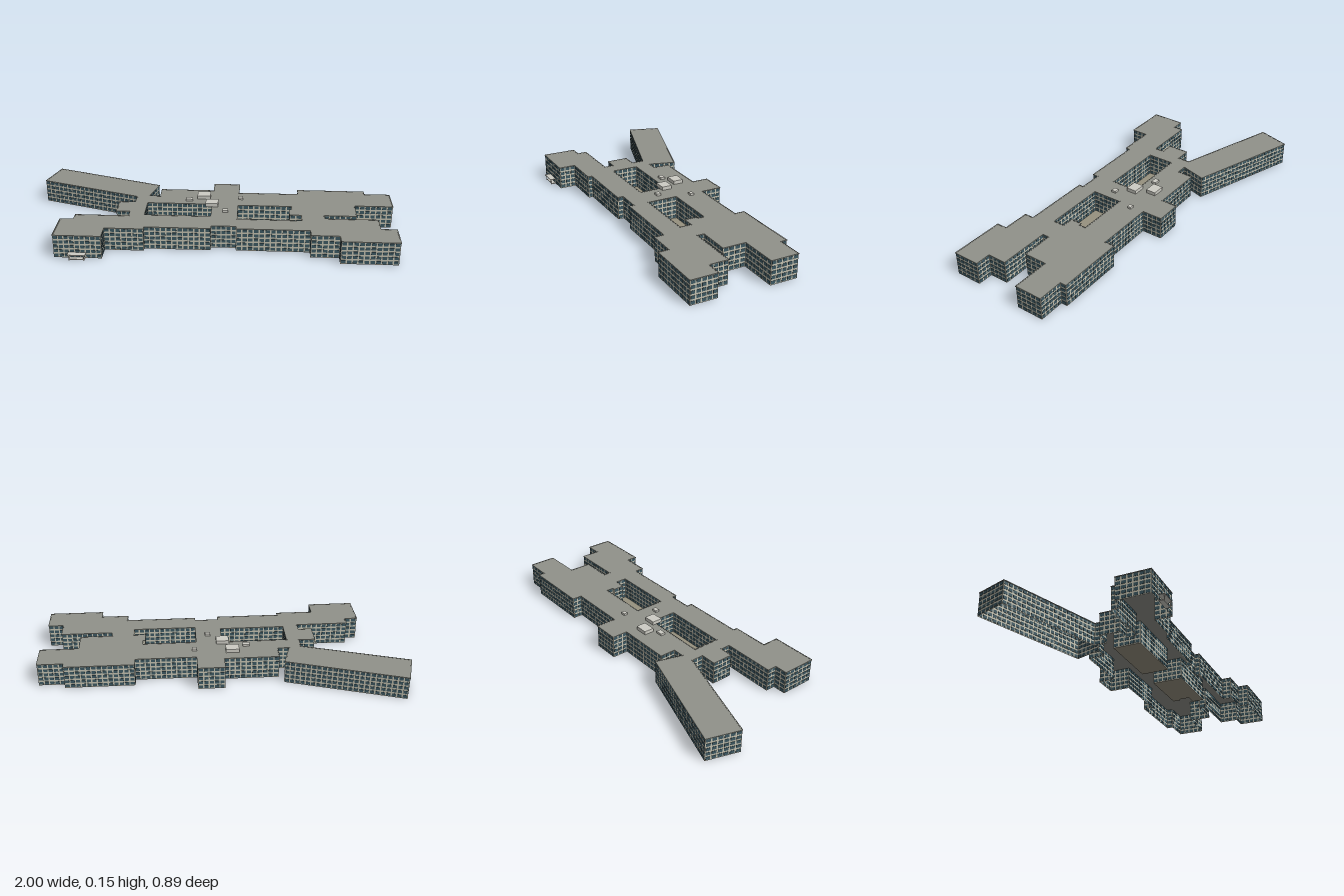
import * as THREE from 'three';
import { mergeGeometries } from 'three/addons/utils/BufferGeometryUtils.js';

const HEIGHT = 0.13, STOREYS = 5, BAY = 0.029;

// Footprint as [x, z] corners: angled wing first, then round the main block
const outline = [
  [-1, -0.267], [-0.944, -0.443], [-0.323, -0.235], [-0.366, -0.09], [-0.3, -0.09], [-0.3, -0.18],
  [0, -0.18], [0, -0.27], [0.144, -0.27], [0.144, -0.155], [0.48, -0.155], [0.48, -0.21],
  [0.855, -0.21], [0.855, -0.175], [0.997, -0.175], [0.997, -0.023], [0.785, -0.023], [0.785, 0.105],
  [0.61, 0.105], [0.61, 0.145], [0.895, 0.145], [0.895, 0.25], [0.98, 0.25], [0.98, 0.395],
  [0.68, 0.395], [0.68, 0.337], [0.53, 0.337], [0.53, 0.284], [0.14, 0.284], [0.14, 0.257],
  [0.005, 0.257], [0.005, 0.289], [-0.348, 0.289], [-0.348, 0.313], [-0.556, 0.313], [-0.556, 0.407],
  [-0.807, 0.407], [-0.807, 0.22], [-0.735, 0.22], [-0.735, 0.166], [-0.444, 0.166], [-0.444, 0.11],
  [-0.519, 0.11], [-0.519, -0.008], [-0.43, -0.008], [-0.43, -0.08],
];
const courtyards = [
  [[-0.364, -0.003], [0, -0.003], [0, 0.15], [-0.364, 0.15]],
  [[0.14, 0.003], [0.44, 0.003], [0.44, 0.045], [0.425, 0.045], [0.425, 0.108],
    [0.49, 0.108], [0.49, 0.174], [0.14, 0.174]],
];

const paint = (color, side = THREE.FrontSide) => new THREE.MeshStandardMaterial({ color, side });
const toPoints = (ring) => ring.map(([x, z]) => new THREE.Vector2(x, -z));

function add(group, name, geometry, material) {
  const mesh = new THREE.Mesh(geometry, material);
  mesh.name = name;
  group.add(mesh);
  return mesh;
}

// Axis-aligned box given by its extents
function block(x0, x1, y0, y1, z0, z1) {
  return new THREE.BoxGeometry(x1 - x0, y1 - y0, z1 - z0)
    .translate((x0 + x1) / 2, (y0 + y1) / 2, (z0 + z1) / 2);
}

// Flat plate of a given footprint between two heights
function plate(ring, holes, y0, y1) {
  const shape = new THREE.Shape(toPoints(ring));
  shape.holes = holes.map((h) => new THREE.Path(toPoints(h)));
  return new THREE.ExtrudeGeometry(shape, { depth: y1 - y0, bevelEnabled: false })
    .rotateX(-Math.PI / 2).translate(0, y0, 0);
}

export function createModel() {
  const building = new THREE.Group();
  building.name = 'building';
  const walls = [], windows = [], copings = [];

  // Facades: one wall, a coping and a grid of windows for every footprint edge
  for (const ring of [outline, ...courtyards]) {
    ring.forEach(([x0, z0], i) => {
      const [x1, z1] = ring[(i + 1) % ring.length];
      const dx = x1 - x0, dz = z1 - z0, length = Math.hypot(dx, dz);
      const place = (g) => g.rotateY(Math.atan2(-dz, dx)).translate((x0 + x1) / 2, 0, (z0 + z1) / 2);

      walls.push(place(new THREE.PlaneGeometry(length, HEIGHT).translate(0, HEIGHT / 2, 0)));
      copings.push(place(new THREE.BoxGeometry(length + 0.004, 0.004, 0.005).translate(0, HEIGHT - 0.001, 0)));

      if (length < 0.02) return;
      const bays = Math.max(1, Math.round(length / BAY));
      const bay = length / bays, storey = HEIGHT / STOREYS;
      for (let b = 0; b < bays; b++) {
        for (let s = 0; s < STOREYS; s++) {
          windows.push(place(new THREE.BoxGeometry(bay * 0.76, storey * 0.64, 0.003)
            .translate((b + 0.5) * bay - length / 2, (s + 0.52) * storey, 0)));
        }
      }
    });
  }
  add(building, 'walls', mergeGeometries(walls), paint(0xc6c3b2, THREE.DoubleSide));
  add(building, 'windows', mergeGeometries(windows), paint(0x3d5862));
  add(building, 'roofCoping', mergeGeometries(copings), paint(0x85877f));
  add(building, 'roof', plate(outline, courtyards, HEIGHT - 0.003, HEIGHT), paint(0x90918a));

  // Courtyard floors, each with a small planted bed
  courtyards.forEach((ring) => add(building, 'courtyardFloor', plate(ring, [], 0, 0.003), paint(0x97917f)));
  for (const [x0, x1, z0, z1] of [[-0.203, -0.153, 0.056, 0.088], [0.31, 0.358, 0.072, 0.103]]) {
    add(building, 'plantingBed', block(x0, x1, 0.003, 0.008, z0, z1), paint(0x5f8558));
  }

  // Plant rooms and vents on the roof
  const rooftop = [
    [-0.088, -0.015, 0.15, -0.122, -0.065], [-0.037, 0.032, 0.15, -0.026, 0.032],
    [-0.15, -0.112, 0.142, -0.06, -0.034], [0.06, 0.09, 0.142, 0.07, 0.095],
    [0.143, 0.168, 0.142, -0.09, -0.068],
  ];
  for (const [x0, x1, top, z0, z1] of rooftop) {
    add(building, 'rooftopUnit', block(x0, x1, HEIGHT, top, z0, z1), paint(0xcdccc4));
  }

  // Entrance canopy on two posts over a low step
  const canopy = new THREE.Group();
  canopy.name = 'entranceCanopy';
  const light = paint(0xcdccc4);
  add(canopy, 'canopyRoof', block(-0.73, -0.637, 0.029, 0.033, 0.407, 0.441), light);
  add(canopy, 'step', block(-0.725, -0.642, 0, 0.005, 0.407, 0.432), light);
  for (const x of [-0.722, -0.645]) {
    add(canopy, 'post', block(x - 0.002, x + 0.002, 0, 0.029, 0.433, 0.437), light);
  }
  building.add(canopy);
  return building;
}
